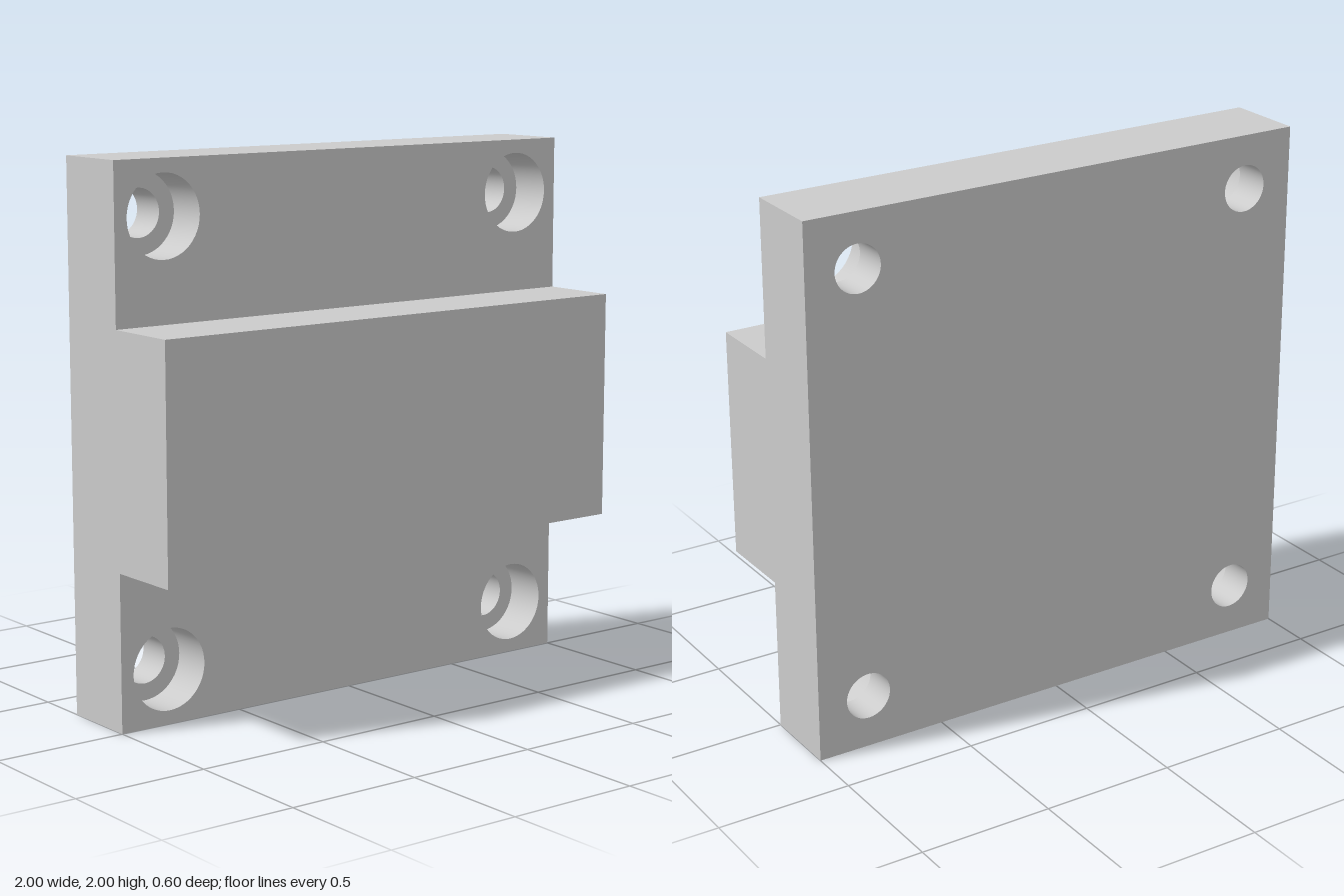
import * as THREE from 'three';
import { mergeGeometries, toCreasedNormals } from 'three/addons/utils/BufferGeometryUtils.js';

const SEG = 48;
const BACK = -0.3, FRONT = 0.3;          // overall depth, plate face is at z = 0
const RIB_LOW = 0.575, RIB_HIGH = 1.425; // height range of the raised block
const BOLT = 0.8, BORE_R = 0.15, HOLE_R = 0.0875, BORE_DEPTH = 0.16;
const PORT_R = 0.05, PORT_Z = -0.11, PORT_DEPTH = 0.4;
const PORT_X = [-0.475, -0.275, 0.275, 0.475];

// Flat rectangular face with round holes, turned and moved into place
function panel(w, h, rotX, rotY, pos, holes = [], r = 0) {
  const shape = new THREE.Shape([
    new THREE.Vector2(-w / 2, -h / 2), new THREE.Vector2(w / 2, -h / 2),
    new THREE.Vector2(w / 2, h / 2), new THREE.Vector2(-w / 2, h / 2),
  ]);
  for (const [x, y] of holes) {
    shape.holes.push(new THREE.Path().absarc(x, y, r, 0, Math.PI * 2, true));
  }
  return new THREE.ShapeGeometry(shape, SEG / 2).rotateX(rotX).rotateY(rotY).translate(...pos);
}

// Stepped T-shaped end face at x = side
function endFace(side) {
  const outline = [[BACK, 0], [0, 0], [0, RIB_LOW], [FRONT, RIB_LOW],
    [FRONT, RIB_HIGH], [0, RIB_HIGH], [0, 2], [BACK, 2]];
  const shape = new THREE.Shape(outline.map(([z, y]) => new THREE.Vector2(-side * z, y)));
  return new THREE.ShapeGeometry(shape).rotateY(side * Math.PI / 2).translate(side, 0, 0);
}

// Inward-facing wall of a drilled hole
function bore(profile) {
  const points = profile.map(([r, y]) => new THREE.Vector2(r, y));
  return toCreasedNormals(new THREE.LatheGeometry(points, SEG), 0.6);
}

export function createModel() {
  const group = new THREE.Group();
  const material = new THREE.MeshStandardMaterial({ color: 0xcccccc });
  const add = (name, geometry, x = 0, y = 0, z = 0) => {
    const mesh = new THREE.Mesh(geometry, material);
    mesh.name = name;
    mesh.position.set(x, y, z);
    group.add(mesh);
  };
  const up = -Math.PI / 2, down = Math.PI / 2;
  const edge = 2 - RIB_HIGH;               // height of each front flange
  const boltY = BOLT + 1 - (2 - edge / 2); // bolt height from the flange middle
  const flangeHoles = (y) => [[-BOLT, y], [BOLT, y]];

  // Plate and raised block as one closed skin
  add('mountingPlate', mergeGeometries([
    panel(2, 2, 0, Math.PI, [0, 1, BACK], [...flangeHoles(-BOLT), ...flangeHoles(BOLT)], HOLE_R),
    panel(2, edge, 0, 0, [0, 2 - edge / 2, 0], flangeHoles(boltY), BORE_R),
    panel(2, edge, 0, 0, [0, edge / 2, 0], flangeHoles(-boltY), BORE_R),
    panel(2, -BACK, up, 0, [0, 2, BACK / 2]),
    panel(2, -BACK, down, 0, [0, 0, BACK / 2], PORT_X.map((x) => [x, PORT_Z - BACK / 2]), PORT_R),
    endFace(1), endFace(-1),
    panel(2, RIB_HIGH - RIB_LOW, 0, 0, [0, 1, FRONT]),
    panel(2, FRONT, up, 0, [0, RIB_HIGH, FRONT / 2]),
    panel(2, FRONT, down, 0, [0, RIB_LOW, FRONT / 2]),
  ]));

  // Counterbored bolt holes through the corners
  const boltHole = bore([[BORE_R, 0], [BORE_R, -BORE_DEPTH], [HOLE_R, -BORE_DEPTH], [HOLE_R, BACK]])
    .rotateX(Math.PI / 2);
  for (const x of [-BOLT, BOLT]) {
    for (const y of [1 - BOLT, 1 + BOLT]) add('boltHole', boltHole, x, y, 0);
  }

  // Blind holes drilled up from the bottom edge
  const port = bore([[0, PORT_DEPTH], [PORT_R, PORT_DEPTH], [PORT_R, 0]]);
  for (const x of PORT_X) add('bottomHole', port, x, 0, PORT_Z);

  return group;
}
